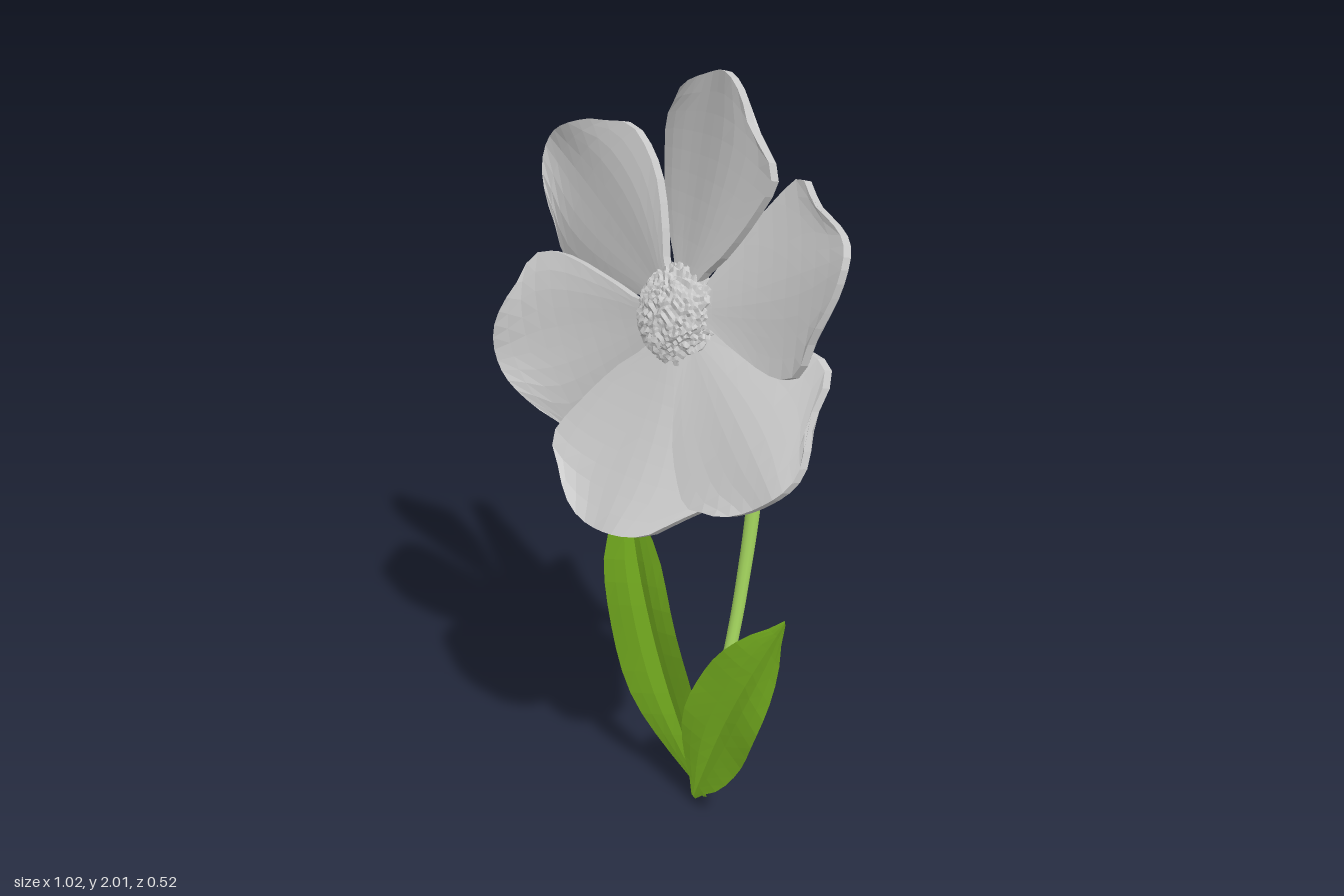
import * as THREE from 'three';

const v3 = (x, y, z) => new THREE.Vector3(x, y, z);
const grey = new THREE.MeshStandardMaterial({ color: 0xcccccc, flatShading: true });
const stemGreen = new THREE.MeshStandardMaterial({ color: 0xa6d85f });
const leafGreen = new THREE.MeshStandardMaterial({ color: 0x7cb822, flatShading: true, side: THREE.DoubleSide });

function named(name, geometry, material) {
  const mesh = new THREE.Mesh(geometry, material);
  mesh.name = name;
  return mesh;
}

// Smooth value through evenly spaced samples
function profile(values) {
  const curve = new THREE.SplineCurve(values.map((w, i) => new THREE.Vector2(i, w)));
  return t => curve.getPoint(t).y;
}

// Move every vertex of a geometry by a rule
function warp(geometry, rule) {
  const pos = geometry.attributes.position;
  const p = v3(0, 0, 0);
  for (let i = 0; i < pos.count; i++) {
    p.fromBufferAttribute(pos, i);
    rule(p);
    pos.setXYZ(i, p.x, p.y, p.z);
  }
  geometry.computeVertexNormals();
  return geometry;
}

// Petal pointing along +y: a thin slab, widened, domed and twisted
const petalWidth = profile([0.035, 0.13, 0.2, 0.222, 0.14]);
function petalGeometry(length, seed) {
  return warp(new THREE.BoxGeometry(2, 1, 0.025, 10, 10, 1), p => {
    const s = p.x, t = THREE.MathUtils.clamp(p.y + 0.5, 0, 1);
    const ripple = 0.008 * Math.sin(4 * s + seed * 1.7) * t * t;
    const x = s * petalWidth(t) * (1 + 0.03 * Math.sin(9 * t + seed * 2 + s));
    const r = 0.07 + t * (length - 0.07 - 0.08 * s * s * t) + ripple;
    const lift = 0.06 * t * t + 0.24 * x - 0.5 * x * x + 0.006 * t * Math.sin(5 * s + seed);
    p.set(x, r, p.z + lift);
  });
}

// Flattened ball with a rough, spiky surface, shallower at the back
function centreGeometry() {
  return warp(new THREE.IcosahedronGeometry(1, 14), p => {
    const [a, b, c] = p.toArray().map(n => Math.round(n * 1000));
    const noise = Math.abs(Math.sin(a * 12.9898 + b * 78.233 + c * 37.719) * 43758.5453) % 1;
    const k = 0.94 + 0.13 * noise;
    p.set(p.x * 0.115 * k, p.y * 0.115 * k, p.z * k * (p.z > 0 ? 0.068 : 0.035));
  });
}

function flowerHead() {
  const head = new THREE.Group();
  head.name = 'flowerHead';
  const lengths = [0.575, 0.565, 0.56, 0.55, 0.56, 0.565];
  lengths.forEach((length, i) => {
    const petal = named('petal', petalGeometry(length, i), grey);
    petal.rotation.z = -i * Math.PI / 3;
    head.add(petal);
  });
  head.add(named('flowerCentre', centreGeometry(), grey));
  head.position.set(0, 1.43, 0);
  head.rotation.x = -0.34;
  return head;
}

// Arched stem that thickens towards the flower
function stem() {
  const curve = new THREE.CatmullRomCurve3([
    v3(-0.01, 0.06, -0.10), v3(0, 0.3, -0.145), v3(0.01, 0.6, -0.205), v3(0.022, 0.95, -0.238),
    v3(0.025, 1.18, -0.198), v3(0.015, 1.32, -0.12), v3(0, 1.375, -0.04),
  ]);
  const segs = 40, sides = 12;
  const geo = new THREE.TubeGeometry(curve, segs, 0.016, sides);
  const pos = geo.attributes.position;
  for (let i = 0; i < pos.count; i++) {
    const t = Math.floor(i / (sides + 1)) / segs;
    const c = curve.getPointAt(t);
    const p = v3(0, 0, 0).fromBufferAttribute(pos, i).sub(c).multiplyScalar(1 + t * t * t).add(c);
    pos.setXYZ(i, p.x, p.y, p.z);
  }
  return named('stem', geo, stemGreen);
}

// Leaf blade laid along a midrib, its edges raised forward and gently rippled
function leaf(name, points, widths) {
  const rib = new THREE.CatmullRomCurve3(points);
  const width = profile(widths);
  const geo = warp(new THREE.PlaneGeometry(2, 1, 6, 14), p => {
    const s = p.x, t = THREE.MathUtils.clamp(p.y + 0.5, 0, 1);
    const c = rib.getPointAt(t), d = rib.getTangentAt(t);
    const side = v3(d.y, -d.x, 0).normalize();
    const fold = 0.028 * Math.sqrt(Math.abs(s)) * Math.sin(Math.PI * t);
    p.copy(c).addScaledVector(side, s * width(t));
    p.z += fold + 0.004 * s * Math.sin(14 * t);
  });
  return named(name, geo, leafGreen);
}

export function createModel() {
  const model = new THREE.Group();
  model.name = 'flower';
  model.add(
    flowerHead(),
    stem(),
    leaf('rightLeaf',
      [v3(-0.01, 0, -0.10), v3(-0.135, 0.34, -0.068), v3(-0.225, 0.6, -0.07), v3(-0.29, 0.81, -0.09)],
      [0.008, 0.078, 0.122, 0.138, 0.128, 0.098, 0.018]),
    leaf('leftLeaf',
      [v3(-0.01, 0.02, -0.06), v3(0.08, 0.25, -0.06), v3(0.18, 0.46, -0.06), v3(0.295, 0.685, -0.075)],
      [0.008, 0.075, 0.108, 0.113, 0.1, 0.062, 0.006]),
  );
  return model;
}
